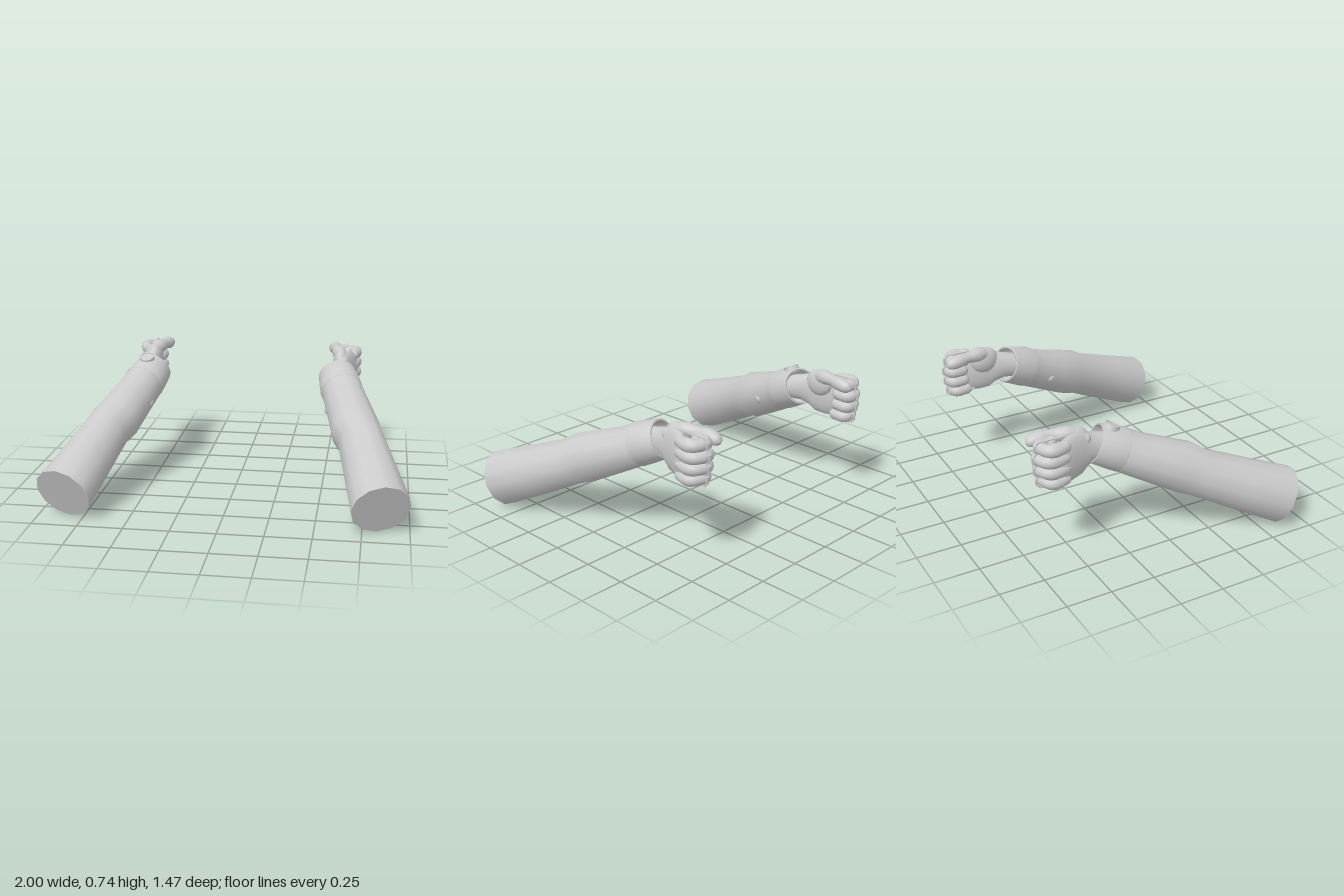
import * as THREE from 'three';
import { mergeVertices } from 'three/addons/utils/BufferGeometryUtils.js';

const V = (x, y, z) => new THREE.Vector3(x, y, z);
const mat = new THREE.MeshStandardMaterial({ color: 0xcccccc });
const matDouble = new THREE.MeshStandardMaterial({ color: 0xcccccc, side: THREE.DoubleSide });
const armAxis = V(-0.248, 0.396, -0.884).normalize();

// Skin through elliptical rings [x, y, z, sideRadius, upRadius] square to an axis
function loft(rings, axis, sides) {
  const e1 = axis.clone().cross(V(0, 1, 0)).normalize();
  const e2 = e1.clone().cross(axis);
  const pos = [], idx = [];
  for (const [x, y, z, rx, ry] of rings) {
    for (let j = 0; j < sides; j++) {
      const t = (j / sides) * Math.PI * 2 + Math.PI / 2;
      const p = V(x, y, z).addScaledVector(e1, rx * Math.cos(t)).addScaledVector(e2, ry * Math.sin(t));
      pos.push(p.x, p.y, p.z);
    }
  }
  for (let i = 0; i + 1 < rings.length; i++) {
    for (let j = 0; j < sides; j++) {
      const k = (j + 1) % sides;
      const a = i * sides + j, b = i * sides + k, c = a + sides, d = b + sides;
      idx.push(a, c, b, b, c, d);
    }
  }
  const g = new THREE.BufferGeometry();
  g.setAttribute('position', new THREE.Float32BufferAttribute(pos, 3));
  g.setIndex(idx);
  g.computeVertexNormals();
  return g;
}

// Round-ended tube with a radius rule, for fingers and thumb
function digit(points, radiusAt) {
  const curve = new THREE.CatmullRomCurve3(points);
  const length = curve.getLength(), steps = 36, sides = 12;
  const g = new THREE.TubeGeometry(curve, steps, 1, sides, false);
  const p = g.attributes.position, v = V(0, 0, 0);
  for (let i = 0; i <= steps; i++) {
    const u = i / steps, r = radiusAt(u);
    const near = Math.min(1, (Math.min(u, 1 - u) * length) / r);
    const s = r * Math.sqrt(Math.max(0.0004, 1 - (1 - near) ** 2));
    const c = curve.getPointAt(u);
    for (let j = 0; j <= sides; j++) {
      const k = i * (sides + 1) + j;
      v.fromBufferAttribute(p, k).sub(c).multiplyScalar(s).add(c);
      p.setXYZ(k, v.x, v.y, v.z);
    }
  }
  g.deleteAttribute('uv');
  g.deleteAttribute('normal');
  const m = mergeVertices(g, 1e-5);
  m.computeVertexNormals();
  return m;
}

// Eight-sided ring plate lying in the yz plane
function ringPlate(y, z, halfZ, halfY, rim, thick) {
  const outline = (path, a, b) => {
    const c = b * 0.55;
    [[a, b - c], [a - c, b], [c - a, b], [-a, b - c], [-a, c - b], [c - a, -b], [a - c, -b], [a, c - b]]
      .forEach(([px, py], i) => (i ? path.lineTo(px, py) : path.moveTo(px, py)));
    path.closePath();
    return path;
  };
  const shape = outline(new THREE.Shape(), halfZ, halfY);
  shape.holes.push(outline(new THREE.Path(), halfZ - rim, halfY - rim));
  const g = new THREE.ExtrudeGeometry(shape, { depth: thick, bevelEnabled: false });
  return mergeVertices(g.translate(0, 0, -thick / 2).rotateY(Math.PI / 2).translate(0.602, y, z));
}

function mirrored(geometry) {
  const g = geometry.clone().scale(-1, 1, 1);
  const a = g.index.array;
  for (let i = 0; i < a.length; i += 3) [a[i], a[i + 1]] = [a[i + 1], a[i]];
  return g;
}

function ball(x, y, z, rx, ry, rz) {
  return new THREE.SphereGeometry(1, 18, 12).scale(rx, ry, rz).translate(x, y, z);
}

export function createModel() {
  const model = new THREE.Group();
  const left = new THREE.Group(), right = new THREE.Group();
  left.name = 'leftArm';
  right.name = 'rightArm';
  model.add(left, right);

  const addTo = (parent, name, geometry, material = mat) => {
    const mesh = new THREE.Mesh(geometry, material);
    mesh.name = name;
    parent.add(mesh);
  };
  const addPair = (name, geometry, material) => {
    addTo(left, name, geometry, material);
    addTo(right, name, mirrored(geometry), material);
  };

  // Sleeve, swelling at the elbow and narrowing to the wrist
  const base = [0.845, 0.146, 0.662, 0.16, 0.16];
  addPair('sleeve', loft([
    base,
    [0.785, 0.245, 0.43, 0.146, 0.146],
    [0.722, 0.353, 0.19, 0.131, 0.131],
    [0.688, 0.392, 0.11, 0.139, 0.141],
    [0.648, 0.452, -0.03, 0.131, 0.129],
    [0.613, 0.503, -0.15, 0.124, 0.118],
    [0.59, 0.54, -0.22, 0.121, 0.116],
  ], armAxis, 12), matDouble);

  // Flat end of the sleeve
  const [bx, by, bz, br] = base;
  addPair('sleeveEnd', loft([[bx, by, bz, 0.0001, 0.0001], base], armAxis, 12));

  // Cuff with a rolled lip and a hollow mouth
  addPair('cuff', loft([
    [0.592, 0.537, -0.214, 0.118, 0.113],
    [0.591, 0.539, -0.218, 0.124, 0.119],
    [0.575, 0.565, -0.28, 0.119, 0.114],
    [0.558, 0.595, -0.35, 0.111, 0.106],
    [0.557, 0.597, -0.356, 0.106, 0.101],
    [0.558, 0.595, -0.352, 0.098, 0.092],
    [0.575, 0.567, -0.285, 0.09, 0.085],
    [0.58, 0.56, -0.265, 0.001, 0.001],
  ], armAxis, 24), matDouble);

  // Small stud on the inner forearm
  addPair('sleeveStud', ball(0.518, 0.455, -0.07, 0.016, 0.025, 0.025));

  // Wrist and back of the hand
  addPair('palm', loft([
    [0.572, 0.575, -0.28, 0.062, 0.07],
    [0.572, 0.59, -0.36, 0.056, 0.078],
    [0.58, 0.59, -0.41, 0.046, 0.095],
    [0.592, 0.583, -0.45, 0.046, 0.12],
    [0.607, 0.58, -0.51, 0.047, 0.128],
    [0.628, 0.58, -0.56, 0.044, 0.124],
    [0.64, 0.58, -0.6, 0.034, 0.112],
    [0.64, 0.58, -0.62, 0.001, 0.001],
  ], V(0, 0, -1), 24));

  // Thumb lying forward along the inner top of the fist
  addPair('thumbBase', ball(0.572, 0.645, -0.475, 0.046, 0.078, 0.085));
  addPair('thumb', digit(
    [V(0.59, 0.63, -0.4), V(0.57, 0.685, -0.48), V(0.545, 0.694, -0.57), V(0.53, 0.69, -0.65), V(0.525, 0.675, -0.728)],
    (u) => 0.042 - 0.01 * u + 0.004 * Math.cos(u * Math.PI * 5)));

  // Four curled fingers, each passing through a ring plate
  const fingers = [[0.672, 0.008], [0.612, -0.004], [0.55, 0], [0.488, 0.012]];
  fingers.forEach(([y, dz], i) => {
    const r = i === 3 ? 0.032 : 0.035;
    addPair('finger' + (i + 1), digit([
      V(0.63, y, -0.54), V(0.656, y, -0.6), V(0.648, y, -0.662 + dz),
      V(0.615, y, -0.682 + dz), V(0.572, y, -0.675 + dz),
      V(0.562, y, -0.635 + dz), V(0.58, y, -0.585 + dz),
    ], (u) => r + 0.0025 * Math.cos(u * Math.PI * 6)));
    addPair('ringPlate' + (i + 1), ringPlate(y, -0.637 + dz, 0.088, 0.038, 0.007, 0.014));
  });

  // Round dial on top of one cuff only
  const dialUp = V(0, 0.91, 0.41).normalize();
  const turn = new THREE.Quaternion().setFromUnitVectors(V(0, 1, 0), dialUp);
  const place = (g, lift) => g.applyQuaternion(turn).translate(-0.578, 0.668 + lift * dialUp.y, -0.268 + lift * dialUp.z);
  addTo(right, 'dialCase', place(new THREE.CylinderGeometry(0.042, 0.046, 0.036, 24), 0.004));
  addTo(right, 'dialRim', place(new THREE.TorusGeometry(0.038, 0.005, 8, 24).rotateX(Math.PI / 2), 0.022));

  return model;
}
